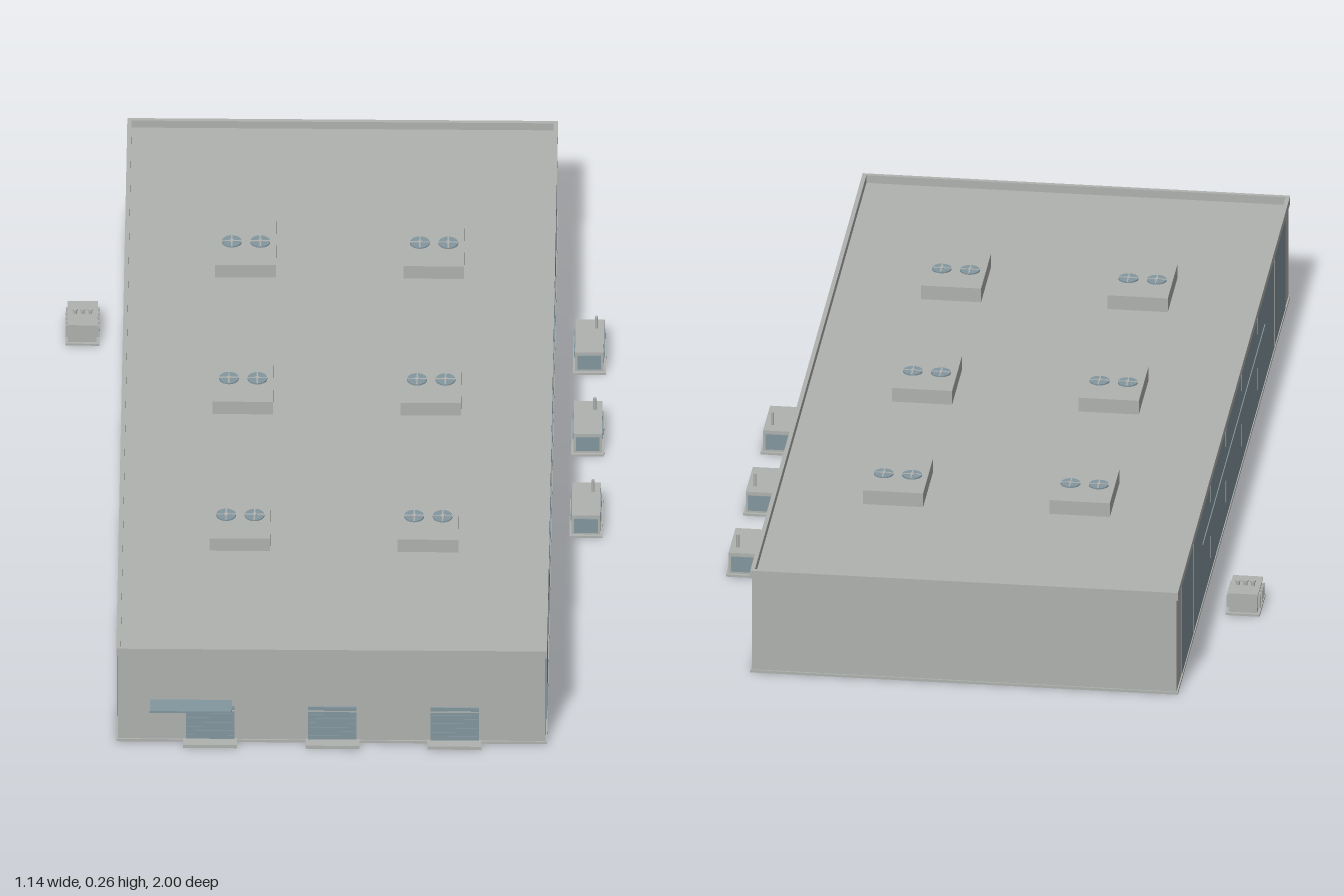
import * as THREE from 'three';

const wallGrey = new THREE.MeshStandardMaterial({ color: 0xb0b2b0 });
wallGrey.name = 'wallGrey';
const panelBlue = new THREE.MeshStandardMaterial({ color: 0x83969f });
panelBlue.name = 'panelBlue';

// Box given by its min and max corners
function box(parent, name, mat, x0, x1, y0, y1, z0, z1) {
  const mesh = new THREE.Mesh(new THREE.BoxGeometry(x1 - x0, y1 - y0, z1 - z0), mat);
  mesh.position.set((x0 + x1) / 2, (y0 + y1) / 2, (z0 + z1) / 2);
  mesh.name = name;
  parent.add(mesh);
  return mesh;
}

function cylinder(parent, name, mat, r, h, x, y, z, sides = 16) {
  const mesh = new THREE.Mesh(new THREE.CylinderGeometry(r, r, h, sides), mat);
  mesh.position.set(x, y + h / 2, z);
  mesh.name = name;
  parent.add(mesh);
  return mesh;
}

function group(parent, name, x = 0, y = 0, z = 0) {
  const g = new THREE.Group();
  g.name = name;
  g.position.set(x, y, z);
  parent.add(g);
  return g;
}

const X0 = -0.443, X1 = 0.46, Z0 = -0.997, Z1 = 0.957, ROOF = 0.22, TOP = 0.238;

// Main hall with a parapet around a sunken roof
function addHall(root) {
  const hall = group(root, 'hall');
  box(hall, 'hallBody', wallGrey, X0, X1, 0, ROOF, Z0, Z1);
  const t = 0.006, o = 0.003;
  box(hall, 'parapetLeft', wallGrey, X1 - t, X1 + o, ROOF, TOP, Z0 - o, Z1 + o);
  box(hall, 'parapetRight', wallGrey, X0 - o, X0 + t, ROOF, TOP, Z0 - o, Z1 + o);
  box(hall, 'parapetFront', wallGrey, X0 + t, X1 - t, ROOF, TOP, Z1 - t, Z1 + o);
  box(hall, 'parapetBack', wallGrey, X0 + t, X1 - t, ROOF, TOP, Z0 - o, Z0 + t);
  box(hall, 'plinth', wallGrey, X0 - o, X1 + o, 0, 0.006, Z0 - o, Z1 + o);
}

// Blue cladding with seams on both long walls
function addSideCladding(root, side) {
  const g = group(root, side > 0 ? 'leftCladding' : 'rightCladding');
  const wall = side > 0 ? X1 : X0;
  const plate = (name, mat, depth, y0, y1, z0, z1) => {
    const outer = wall + side * depth;
    box(g, name, mat, Math.min(wall, outer), Math.max(wall, outer), y0, y1, z0, z1);
  };
  plate('claddingPanel', panelBlue, 0.002, 0.01, 0.219, -0.915, 0.882);
  for (const z of [0.69, -0.72]) plate('fullSeam', wallGrey, 0.003, 0.01, 0.219, z - 0.002, z + 0.002);
  for (const z of [0.4, 0.12, -0.155, -0.43]) {
    plate('upperSeam', wallGrey, 0.003, 0.18, 0.219, z - 0.0015, z + 0.0015);
    plate('lowerSeam', wallGrey, 0.003, 0.05, 0.1, z - 0.0015, z + 0.0015);
  }
  plate('ledge', panelBlue, 0.004, 0.142, 0.146, -0.56, 0.52);
}

// Front shutter door with slats and a step
function addDoor(root, x) {
  const g = group(root, 'shutterDoor', x, 0, Z1);
  box(g, 'shutter', panelBlue, -0.051, 0.051, 0.008, 0.091, 0, 0.003);
  box(g, 'shutterRail', wallGrey, -0.051, 0.051, 0.079, 0.082, 0.003, 0.0036);
  for (let i = 0; i < 6; i++) {
    const y = 0.016 + i * 0.011;
    box(g, 'shutterSlat', panelBlue, -0.049, 0.049, y, y + 0.002, 0.003, 0.004);
  }
  box(g, 'step', wallGrey, -0.057, 0.057, 0, 0.008, 0, 0.026);
}

// Rooftop cooler with a pair of fans
function addCooler(root, x, z) {
  const g = group(root, 'roofCooler', x, ROOF, z);
  box(g, 'coolerCasing', wallGrey, -0.064, 0.064, 0, 0.032, -0.085, 0.085);
  for (const fx of [-0.03, 0.03]) {
    const fan = group(g, 'fan', fx, 0.032, 0);
    cylinder(fan, 'fanDisc', panelBlue, 0.021, 0.003, 0, 0, 0, 20);
    box(fan, 'fanBar', wallGrey, -0.021, 0.021, 0.003, 0.004, -0.0015, 0.0015);
    box(fan, 'fanBar', wallGrey, -0.0015, 0.0015, 0.003, 0.004, -0.021, 0.021);
    cylinder(fan, 'fanHub', wallGrey, 0.005, 0.0045, 0, 0, 0, 10);
  }
}

// Generator with louvres and an exhaust stack
function addGenerator(root, z) {
  const g = group(root, 'generator', 0.536, 0, z);
  box(g, 'generatorBase', wallGrey, -0.035, 0.035, 0, 0.005, -0.068, 0.068);
  box(g, 'generatorCasing', wallGrey, -0.03, 0.03, 0.005, 0.053, -0.061, 0.061);
  box(g, 'frontLouvre', panelBlue, -0.025, 0.025, 0.01, 0.045, 0.061, 0.063);
  box(g, 'backLouvre', panelBlue, -0.025, 0.025, 0.01, 0.045, -0.063, -0.061);
  for (const s of [-1, 1]) {
    const x = s * 0.031;
    box(g, 'sideLouvre', panelBlue, x - 0.0015, x + 0.0015, 0.027, 0.043, -0.038, 0.043);
  }
  cylinder(g, 'exhaustStack', wallGrey, 0.0035, 0.029, 0.014, 0.053, -0.03, 10);
}

// Transformer with side radiators and bushings
function addTransformer(root) {
  const g = group(root, 'transformer', -0.535, 0, -0.55);
  box(g, 'transformerBase', wallGrey, -0.036, 0.036, 0, 0.005, -0.05, 0.05);
  box(g, 'transformerTank', wallGrey, -0.03, 0.03, 0.005, 0.046, -0.043, 0.043);
  box(g, 'tankLid', wallGrey, -0.032, 0.032, 0.046, 0.049, -0.045, 0.045);
  for (const s of [-1, 1]) for (let i = 0; i < 5; i++) {
    const x = s * 0.032, z = -0.032 + i * 0.016;
    box(g, 'radiatorFin', wallGrey, x - 0.004, x + 0.004, 0.012, 0.04, z - 0.003, z + 0.003);
  }
  for (const x of [-0.016, 0, 0.016]) {
    cylinder(g, 'bushing', wallGrey, 0.004, 0.008, x, 0.049, 0, 10);
    cylinder(g, 'bushingCap', wallGrey, 0.006, 0.003, x, 0.057, 0, 10);
  }
}

export function createModel() {
  const root = new THREE.Group();
  root.name = 'serverHall';
  addHall(root);
  addSideCladding(root, 1);
  addSideCladding(root, -1);
  for (const x of [-0.248, 0.01, 0.268]) addDoor(root, x);
  box(root, 'canopy', panelBlue, -0.375, -0.202, 0.101, 0.106, Z1, 1);
  for (const x of [-0.19, 0.207]) for (const z of [-0.525, -0.02, 0.485]) addCooler(root, x, z);
  for (const z of [0.13, -0.172, -0.473]) addGenerator(root, z);
  addTransformer(root);
  return root;
}
